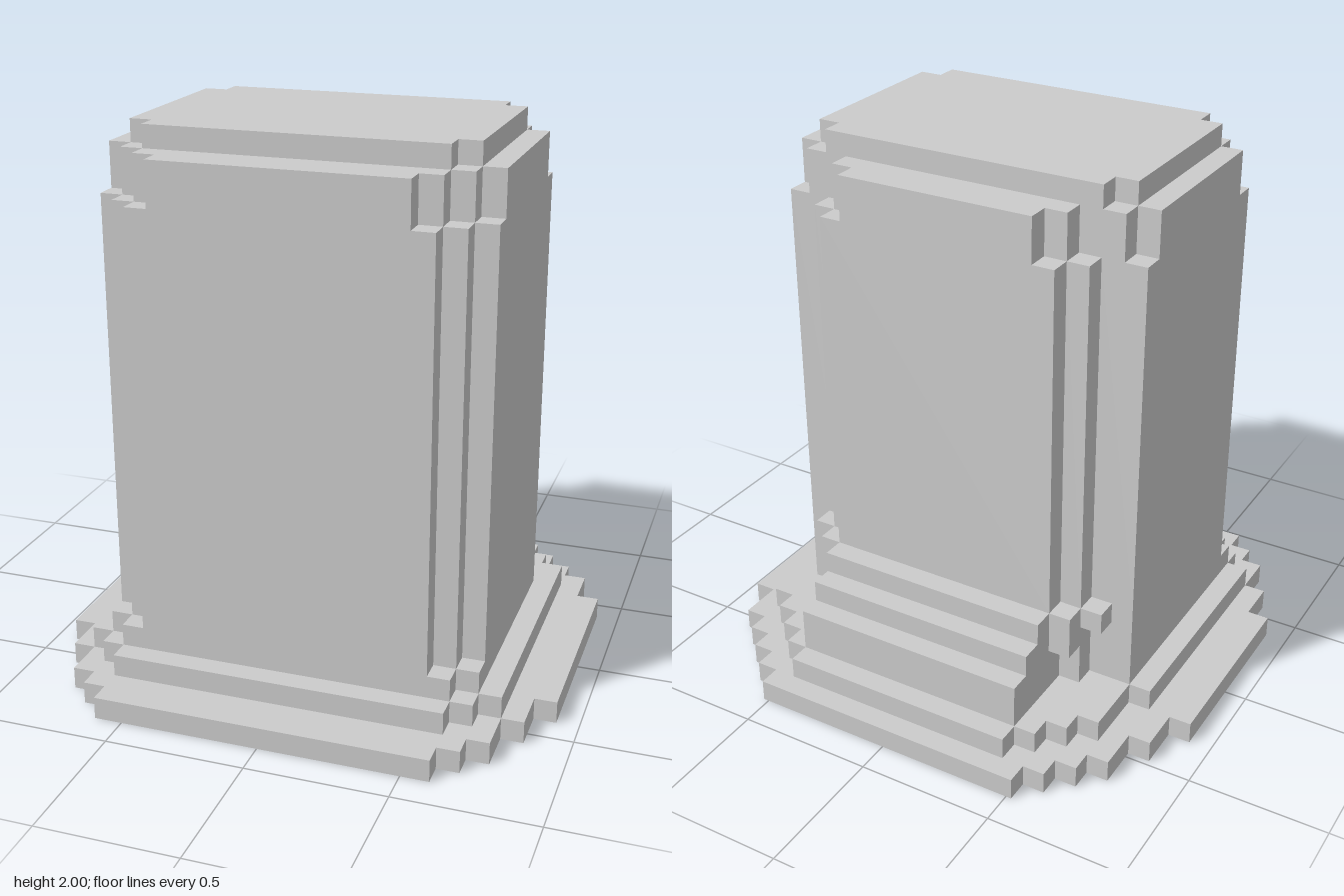
import * as THREE from 'three';

// Stepped slab between two heights. Each row is [z where it starts, half width on +x, half width on -x];
// a row lasts until the next one starts, and the last ends at zEnd.
function slab(name, y0, y1, rows, zEnd, material) {
  const right = [], left = [];
  rows.forEach(([z, a, b = a], i) => {
    const next = i + 1 < rows.length ? rows[i + 1][0] : zEnd;
    right.push(new THREE.Vector2(a, -z), new THREE.Vector2(a, -next));
    left.push(new THREE.Vector2(-b, -z), new THREE.Vector2(-b, -next));
  });
  // drop repeated corners where neighbouring rows share a width
  const outline = [...right, ...left.reverse()].filter((p, i, all) => i === 0 || !p.equals(all[i - 1]));
  const geometry = new THREE.ExtrudeGeometry(new THREE.Shape(outline), { depth: y1 - y0, bevelEnabled: false });
  geometry.rotateX(-Math.PI / 2);
  geometry.translate(0, y0, 0);
  const mesh = new THREE.Mesh(geometry, material);
  mesh.name = name;
  return mesh;
}

export function createModel() {
  const group = new THREE.Group();
  group.name = 'steppedPillar';
  const material = new THREE.MeshStandardMaterial({ color: 0xcccccc, flatShading: true });
  const add = (name, y0, y1, rows, zEnd) => group.add(slab(name, y0, y1, rows, zEnd, material));

  // rounded ground slab, slightly uneven at the back corners
  add('baseSlab', 0, 0.08, [
    [-0.88, 0.52], [-0.8, 0.6], [-0.72, 0.68], [-0.64, 0.76], [-0.56, 0.84, 0.76], [-0.48, 0.84],
    [-0.4, 0.92, 0.84], [-0.32, 0.92], [0.4, 0.84], [0.56, 0.76], [0.72, 0.68], [0.8, 0.6],
  ], 0.88);
  add('upperBaseSlab', 0.08, 0.16, [
    [-0.8, 0.44], [-0.72, 0.52], [-0.64, 0.6], [-0.56, 0.68], [-0.48, 0.76, 0.68],
    [-0.32, 0.76], [0.56, 0.68], [0.64, 0.6],
  ], 0.72);

  // column corners shared by the shaft slices
  const back = [[-0.4, 0.52], [-0.32, 0.68]];
  const front = [[0.48, 0.6], [0.56, 0.52]];

  // foot of the shaft, with the steps rising against its back
  add('shaftFoot', 0.16, 0.24, [[-0.72, 0.44], ...back, [0.56, 0.6]], 0.64);
  add('lowerBackStep', 0.24, 0.32, [[-0.72, 0.44], ...back, ...front], 0.64);
  add('middleBackStep', 0.32, 0.4, [[-0.64, 0.44], [-0.48, 0.52], [-0.32, 0.68], ...front], 0.64);
  add('upperBackStep', 0.4, 0.48, [[-0.56, 0.44], [-0.48, 0.52], [-0.4, 0.6], [-0.32, 0.68], ...front], 0.64);

  // shaft, shoulder with deeper corner cuts, and cap
  add('shaft', 0.48, 1.76, [[-0.48, 0.44], ...back, ...front], 0.64);
  add('shoulder', 1.76, 1.92, [
    [-0.48, 0.36], [-0.4, 0.44], [-0.32, 0.6], [-0.24, 0.68], [0.4, 0.6], [0.48, 0.52], [0.56, 0.44],
  ], 0.64);
  add('cap', 1.92, 2, [[-0.32, 0.52], [-0.24, 0.6], [0.4, 0.52]], 0.48);
  return group;
}
